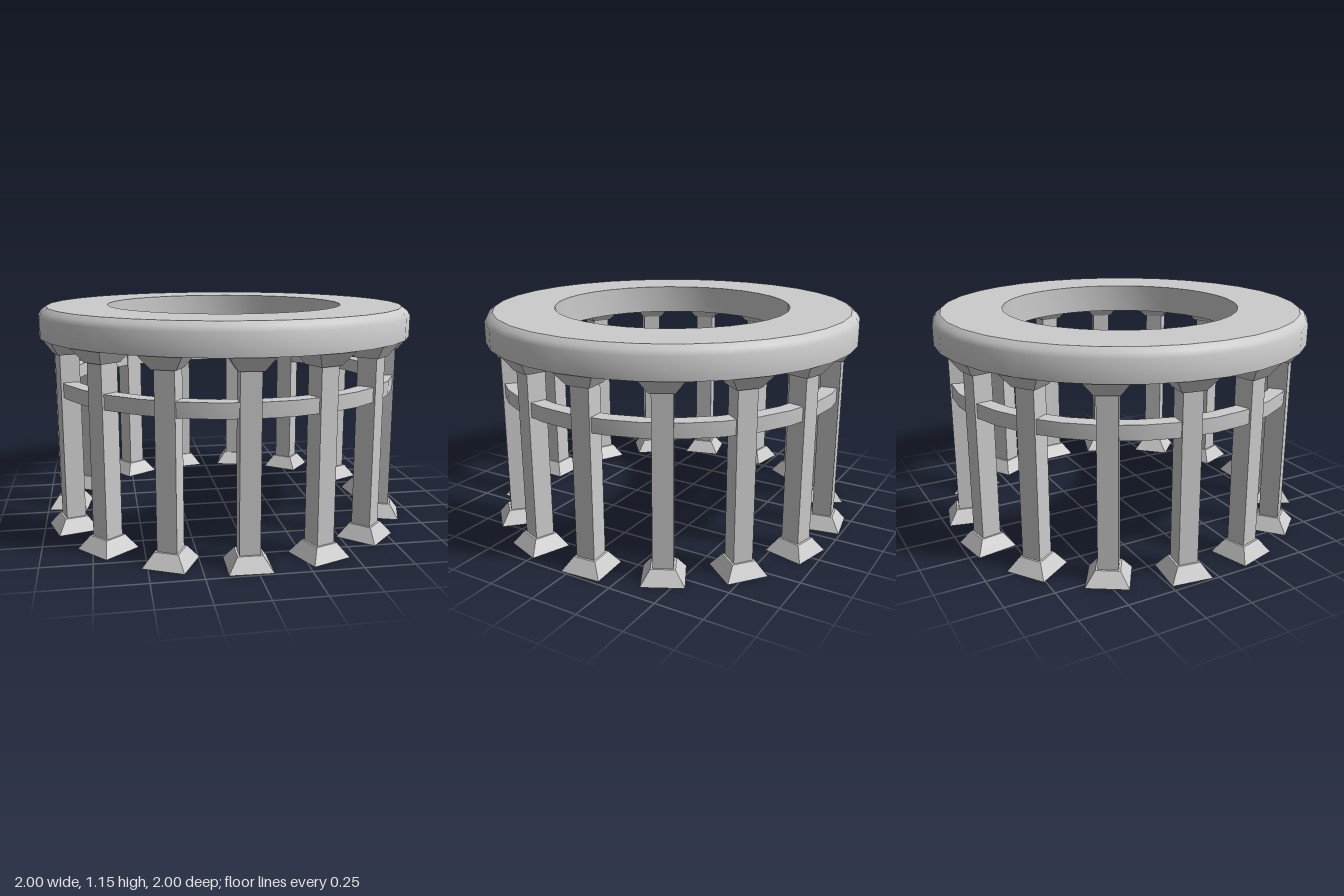
import * as THREE from 'three';
import { toCreasedNormals } from 'three/addons/utils/BufferGeometryUtils.js';

const POSTS = 15;
const POST_RADIUS = 0.882;
const SIDES = 32;

const material = new THREE.MeshStandardMaterial({ color: 0xcccccc });
const flatMaterial = new THREE.MeshStandardMaterial({ color: 0xcccccc, flatShading: true });

function part(name, geometry, mat = material) {
  const mesh = new THREE.Mesh(geometry, mat);
  mesh.name = name;
  return mesh;
}

// Closed ring revolved from a counter-clockwise profile, with sharp edges kept
function ring(name, profile) {
  const points = [...profile, profile[0]].map(([x, y]) => new THREE.Vector2(x, y));
  return part(name, toCreasedNormals(new THREE.LatheGeometry(points, SIDES), 0.58));
}

// Square frustum given by its half widths at the bottom and top
function squareFrustum(bottom, top, y0, y1) {
  const g = new THREE.CylinderGeometry(top * Math.SQRT2, bottom * Math.SQRT2, y1 - y0, 4);
  return g.rotateY(Math.PI / 4).translate(0, (y0 + y1) / 2, 0);
}

export function createModel() {
  const model = new THREE.Group();
  model.name = 'roundColonnade';

  // Heavy top ring with a rounded upper rim
  model.add(ring('topRing', [
    [0.635, 1.0], [1, 1.0], [1, 1.11], [0.985, 1.135], [0.957, 1.155], [0.635, 1.155],
  ]));

  // Thin rail running through the posts
  model.add(ring('rail', [
    [0.845, 0.715], [0.925, 0.715], [0.925, 0.79], [0.845, 0.79],
  ]));

  // Square posts with flared feet and capitals
  const shaft = squareFrustum(0.05, 0.05, 0.03, 0.98);
  const foot = squareFrustum(0.106, 0.06, 0, 0.07);
  const capital = squareFrustum(0.06, 0.106, 0.932, 1.002);
  for (let i = 0; i < POSTS; i++) {
    const angle = THREE.MathUtils.degToRad(-2) + (i / POSTS) * Math.PI * 2;
    const post = new THREE.Group();
    post.name = `post${i + 1}`;
    post.add(
      part('shaft', shaft, flatMaterial),
      part('foot', foot, flatMaterial),
      part('capital', capital, flatMaterial),
    );
    post.position.set(Math.sin(angle) * POST_RADIUS, 0, Math.cos(angle) * POST_RADIUS);
    post.rotation.y = angle;
    model.add(post);
  }
  return model;
}
